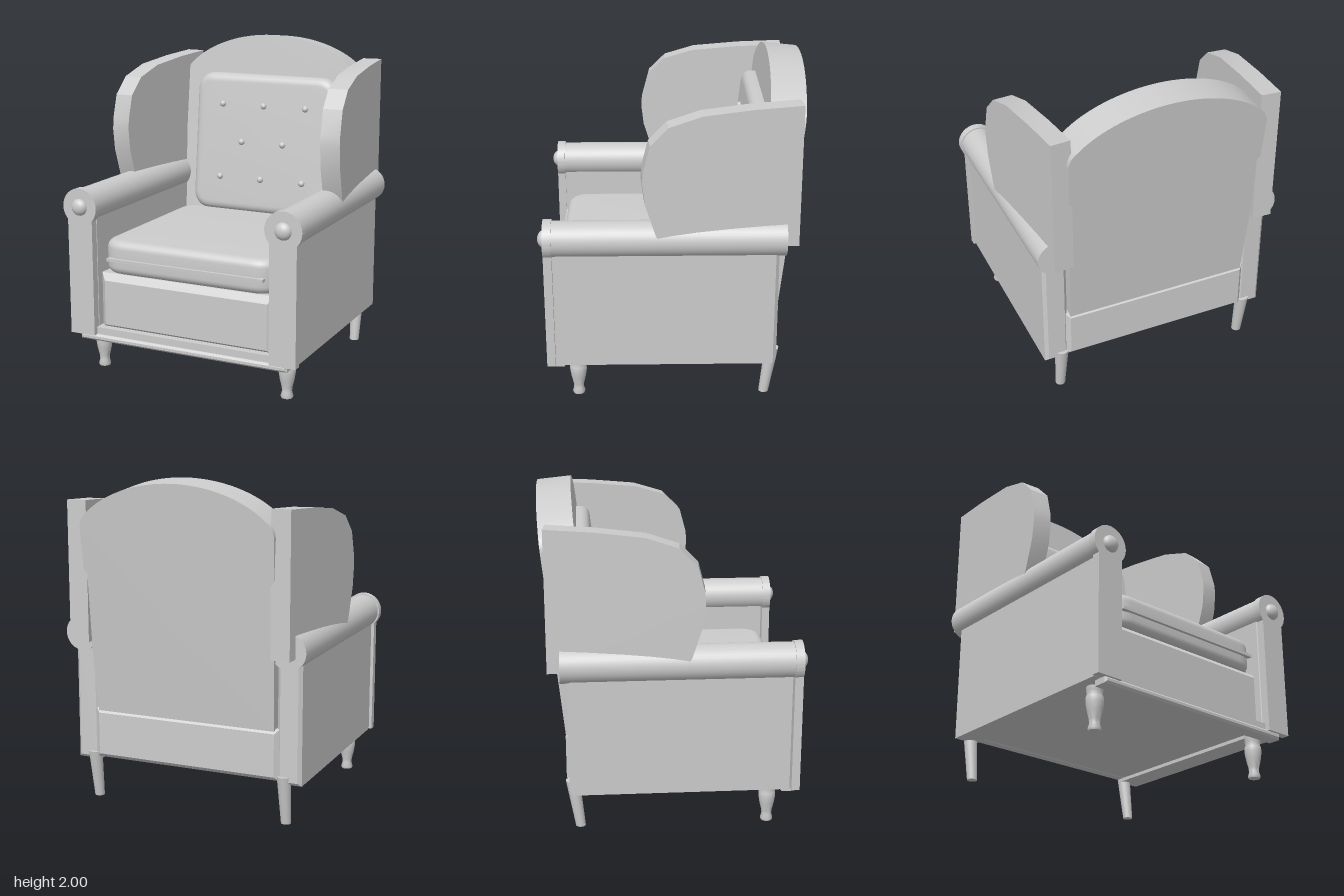
import * as THREE from 'three';
import { toCreasedNormals } from 'three/addons/utils/BufferGeometryUtils.js';

const upholstery = new THREE.MeshStandardMaterial({ color: 0xcccccc });
upholstery.name = 'grey upholstery';

function add(parent, name, geometry, x = 0, y = 0, z = 0) {
  const mesh = new THREE.Mesh(geometry, upholstery);
  mesh.name = name;
  mesh.position.set(x, y, z);
  parent.add(mesh);
  return mesh;
}

const box = (w, h, d) => new THREE.BoxGeometry(w, h, d);

function roundedRect(w, h, r) {
  const s = new THREE.Shape(), x = w / 2, y = h / 2;
  s.moveTo(-x + r, -y);
  s.lineTo(x - r, -y);
  s.quadraticCurveTo(x, -y, x, -y + r);
  s.lineTo(x, y - r);
  s.quadraticCurveTo(x, y, x - r, y);
  s.lineTo(-x + r, y);
  s.quadraticCurveTo(-x, y, -x, y - r);
  s.lineTo(-x, -y + r);
  s.quadraticCurveTo(-x, -y, -x + r, -y);
  return s;
}

// Soft cushion of outer size w, h, d, lying in the xy plane and centred
function cushion(w, h, d, r, bevel) {
  const g = new THREE.ExtrudeGeometry(roundedRect(w - 2 * bevel, h - 2 * bevel, r), {
    depth: d - 2 * bevel, bevelEnabled: true, bevelThickness: bevel,
    bevelSize: bevel, bevelSegments: 6, curveSegments: 8,
  });
  g.translate(0, 0, -(d - 2 * bevel) / 2);
  return toCreasedNormals(g, 0.7);
}

// Box with chamfered edges, centred
function chamferBox(w, h, d, b) {
  const x = w / 2 - b, y = h / 2 - b;
  const s = new THREE.Shape([[-x, -y], [x, -y], [x, y], [-x, y]].map(p => new THREE.Vector2(...p)));
  const g = new THREE.ExtrudeGeometry(s, {
    depth: d - 2 * b, bevelEnabled: true, bevelThickness: b, bevelSize: b, bevelSegments: 1,
  });
  return g.translate(0, 0, -(d - 2 * b) / 2);
}

function lathe(points, segments) {
  return toCreasedNormals(new THREE.LatheGeometry(points.map(p => new THREE.Vector2(...p)), segments), 0.8);
}

function buildBase(chair) {
  add(chair, 'seatDeck', chamferBox(1.165, 0.36, 1.27, 0.04), 0, 0.45, 0.05);
  add(chair, 'frontBottomRail', box(1.17, 0.045, 0.14), 0, 0.275, 0.65);
  add(chair, 'frontFootRail', chamferBox(1.38, 0.04, 0.1, 0.012), 0, 0.235, 0.69);
  add(chair, 'backBottomRail', chamferBox(1.2, 0.31, 0.1, 0.025), 0, 0.425, -0.588);

  const seat = add(chair, 'seatCushion', cushion(1.15, 1.135, 0.21, 0.09, 0.05), 0, 0.735, 0.108);
  seat.rotation.x = Math.PI / 2;
  add(chair, 'seatPiping', box(1.04, 0.018, 0.03), 0, 0.727, 0.68);
}

// Tilted backrest with its buttoned cushion
function buildBack(chair) {
  const back = new THREE.Group();
  back.name = 'backrest';
  back.position.set(0, 0.57, -0.636);
  back.rotation.x = -0.102;
  chair.add(back);

  const s = new THREE.Shape();
  s.moveTo(-0.575, 0);
  s.lineTo(0.575, 0);
  s.lineTo(0.612, 1.13);
  s.quadraticCurveTo(0.61, 1.19, 0.565, 1.225);
  s.bezierCurveTo(0.44, 1.345, 0.22, 1.416, 0, 1.416);
  s.bezierCurveTo(-0.22, 1.416, -0.44, 1.345, -0.565, 1.225);
  s.quadraticCurveTo(-0.61, 1.19, -0.612, 1.13);
  const slab = new THREE.ExtrudeGeometry(s, { depth: 0.205, bevelEnabled: false, curveSegments: 16 });
  add(back, 'backrestFrame', toCreasedNormals(slab, 0.5));
  add(back, 'backCushion', cushion(1, 0.92, 0.19, 0.07, 0.055), 0, 0.695, 0.19);

  const button = new THREE.SphereGeometry(0.021, 14, 10);
  for (const [y, xs] of [[0.95, [-0.295, 0, 0.295]], [0.705, [-0.147, 0.147]], [0.465, [-0.295, 0, 0.295]]]) {
    for (const x of xs) add(back, 'cushionButton', button, x, y, 0.287);
  }
}

// Front face of the arm: a post with a round scroll on top
function armFrontGeometry() {
  const s = new THREE.Shape(), r = 0.115, half = 0.084;
  const a = Math.asin(half / r);
  s.moveTo(-half, -0.8);
  s.lineTo(half, -0.8);
  s.absarc(0, 0, r, -Math.PI / 2 + a, Math.PI * 1.5 - a, false);
  s.closePath();
  const g = new THREE.ExtrudeGeometry(s, { depth: 0.05, bevelEnabled: false, curveSegments: 36 });
  return toCreasedNormals(g, 0.5);
}

// Wing outline as (z, y), extruded sideways and centred on its thickness
function wingGeometry() {
  const outline = [
    [-0.73, 1.01], [0.07, 1.04], [0.105, 1.11], [0.165, 1.3], [0.18, 1.43], [0.175, 1.5],
    [0.135, 1.65], [0.03, 1.755], [-0.16, 1.815], [-0.45, 1.845], [-0.73, 1.86],
  ];
  const s = new THREE.Shape(outline.map(([z, y]) => new THREE.Vector2(z + 0.275, y)));
  const g = new THREE.ExtrudeGeometry(s, { depth: 0.12, bevelEnabled: false });
  g.translate(0, 0, -0.06).rotateY(-Math.PI / 2);
  return toCreasedNormals(g, 0.45);
}

function buildSides(chair) {
  const roll = new THREE.CylinderGeometry(0.107, 0.107, 1.37, 36).rotateX(Math.PI / 2);
  const front = armFrontGeometry();
  const panel = chamferBox(0.15, 0.74, 1.33, 0.02);
  const wing = wingGeometry();
  const stud = new THREE.SphereGeometry(0.052, 24, 16).scale(1, 1, 0.75);
  const frontLeg = lathe([
    [0, 0], [0.034, 0], [0.038, 0.012], [0.03, 0.04], [0.032, 0.065], [0.044, 0.115],
    [0.051, 0.16], [0.05, 0.19], [0.043, 0.21], [0.048, 0.225], [0.048, 0.26], [0, 0.26],
  ], 20);
  const backLeg = new THREE.CylinderGeometry(0.042, 0.03, 0.3, 20);
  // Lean the back leg while keeping its foot level
  backLeg.translate(0, 0.15, 0).applyMatrix4(new THREE.Matrix4().set(
    1, 0, 0, 0, 0, 1, 0, 0, 0, -0.14, 1, 0, 0, 0, 0, 1));

  for (const side of [1, -1]) {
    add(chair, 'armRoll', roll, side * 0.667, 1.05, 0.025);
    add(chair, 'armFront', front, side * 0.667, 1.05, 0.7);
    add(chair, 'armPanel', panel, side * 0.66, 0.62, 0.045);
    add(chair, 'armStud', stud, side * 0.667, 1.05, 0.746);
    add(chair, 'wing', wing, side * 0.678, 0, -0.275).rotation.y = side * 0.077;
    add(chair, 'frontLeg', frontLeg, side * 0.625, 0, 0.573);
    add(chair, 'backLeg', backLeg, side * 0.625, 0, -0.56);
  }
}

export function createModel() {
  const chair = new THREE.Group();
  chair.name = 'wingArmchair';
  buildBase(chair);
  buildBack(chair);
  buildSides(chair);
  return chair;
}
